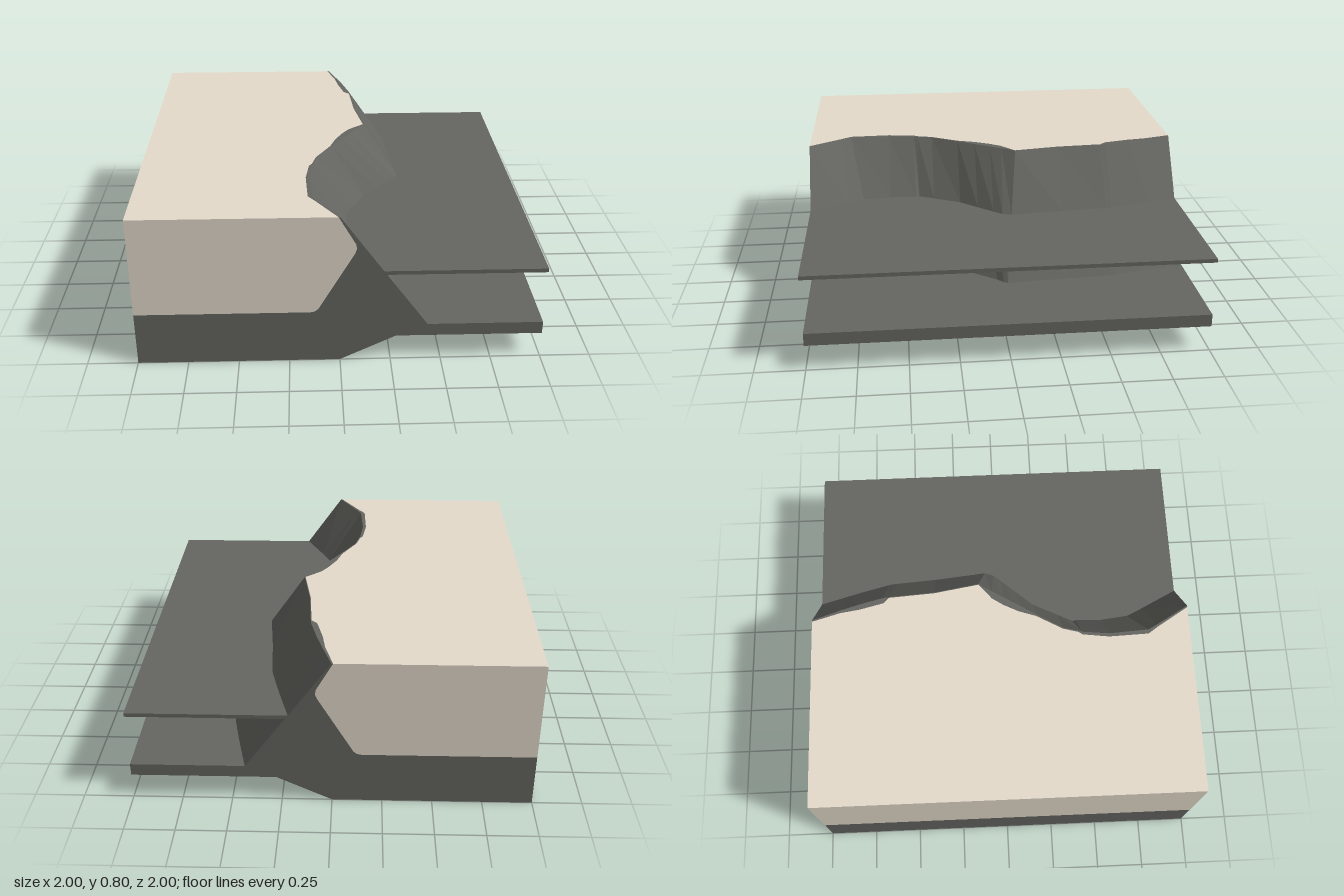
import * as THREE from 'three';

const rock = new THREE.MeshStandardMaterial({ color: 0x656661, side: THREE.DoubleSide });
rock.name = 'dark rock';
const sand = new THREE.MeshStandardMaterial({ color: 0xe5dbcc });
sand.name = 'pale sand';

// Stations along the cliff: z, rim of the sand, rim of the rock,
// cliff line at the upper shelf, slant of the cliff crease along z
const stations = [
  [-1, -0.008, 0, 0.21, 0],
  [-0.85, 0.035, 0.05, 0.253, 0],
  [-0.75, 0.05, 0.08, 0.28, 0],
  [-0.62, 0.082, 0.113, 0.313, 0],
  [-0.59, 0.112, 0.116, 0.318, 0],
  [-0.35, 0.128, 0.132, 0.335, 0],
  [-0.11, 0.168, 0.172, 0.364, 0.13],
  [-0.04, 0.085, 0.126, 0.348, 0.05],
  [0.02, 0.045, 0.09, 0.31, 0],
  [0.1, 0.005, 0.042, 0.24, 0],
  [0.19, -0.025, -0.015, 0.16, 0],
  [0.33, -0.104, -0.098, 0.09, 0],
  [0.41, -0.125, -0.118, 0.05, 0],
  [0.43, -0.14, -0.125, 0.054, 0],
  [0.57, -0.158, -0.14, 0.05, 0],
  [0.78, -0.15, -0.127, 0.068, -0.21],
  [0.83, -0.115, -0.1, 0.107, -0.1],
  [1, -0.008, 0, 0.21, 0],
];

// Skin a counter-clockwise cross-section along z and cap both ends;
// firstEdge = 1 leaves the underside open
function loft(name, material, profile, firstEdge = 0) {
  const rings = stations.map(([z, s, c, m, slant]) =>
    profile(s, c, m).map(([x, y]) =>
      new THREE.Vector3(x, y, y < 0.2 ? z : z + slant * (0.8 - y))));
  const points = [];
  for (let k = 0; k < rings.length - 1; k++) {
    const r0 = rings[k], r1 = rings[k + 1];
    for (let i = firstEdge; i < r0.length; i++) {
      const j = (i + 1) % r0.length;
      points.push(r0[i], r0[j], r1[j], r0[i], r1[j], r1[i]);
    }
  }
  const back = rings[0], front = rings[rings.length - 1];
  const outline = (ring) => ring.map((p) => new THREE.Vector2(p.x, p.y));
  for (const [a, b, c] of THREE.ShapeUtils.triangulateShape(outline(front), []))
    points.push(front[a], front[b], front[c]);
  for (const [a, b, c] of THREE.ShapeUtils.triangulateShape(outline(back), []))
    points.push(back[a], back[c], back[b]);
  const geometry = new THREE.BufferGeometry().setFromPoints(points);
  geometry.computeVertexNormals();
  const mesh = new THREE.Mesh(geometry, material);
  mesh.name = name;
  return mesh;
}

// Boundary shared by the sand and the rock, from the outer floor up to the rim
const sandBed = (s, c) => [
  [-1, 0.28], [c - 0.145, 0.28], [c - 0.122, 0.285], [c - 0.105, 0.3],
  [c + 0.07, 0.605], [c + 0.079, 0.63], [c + 0.074, 0.655], [s, 0.8],
];

export function createModel() {
  const group = new THREE.Group();
  group.name = 'cliffSection';

  // Sand fill
  group.add(loft('sandFill', sand, (s, c) => [...sandBed(s, c), [-1, 0.8]]));

  // Rock shell with the sloping cliff, hollow below
  group.add(loft('rockShell', rock, (s, c, m) => {
    const o = m - 0.21;
    return [
      [-1, 0], [c, 0], [0.28 + o, 0.137], [0.43 + 0.85 * o, 0.2],
      [m, 0.505], [c, 0.8], ...sandBed(s, c).reverse(),
    ];
  }, 1));

  // Lower shelf, running right through the shell
  const lowerShelf = new THREE.Mesh(new THREE.BoxGeometry(2, 0.065, 2), rock);
  lowerShelf.name = 'lowerShelf';
  lowerShelf.position.y = 0.1675;
  group.add(lowerShelf);

  // Thin upper shelf
  group.add(loft('upperShelf', rock, (s, c, m) => [
    [m + 0.01, 0.485], [1, 0.485], [1, 0.505], [m - 0.004, 0.505],
  ]));

  return group;
}
